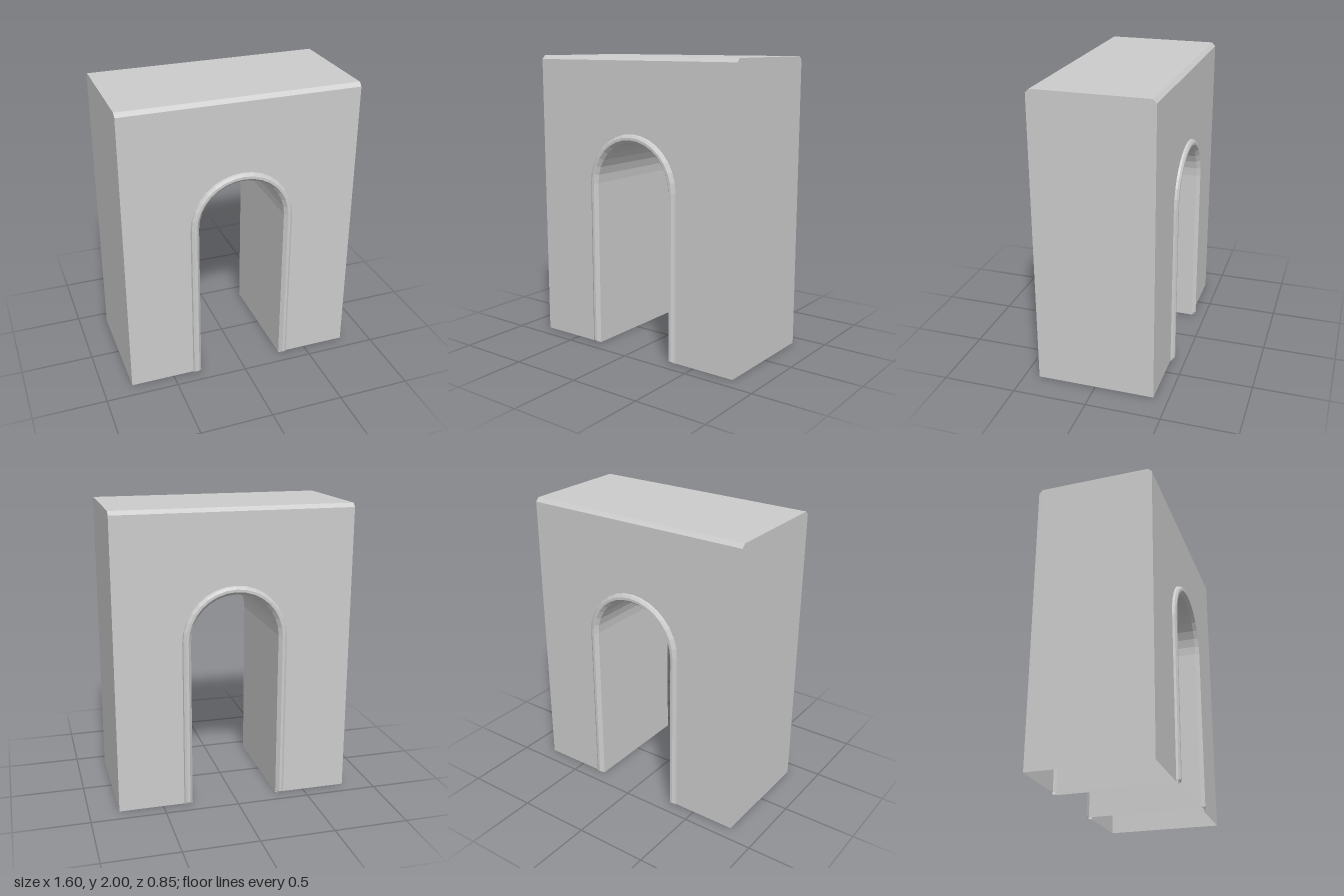
import * as THREE from 'three';

const W = 0.8, D = 0.4, H = 2, BEVEL = 0.025; // half width, half depth, height, top chamfer
const SPRING = 1.145, SEGMENTS = 16; // where the arch starts to curve, and its facets
const OUTER = 0.355, INNER = 0.297; // radii of the trim's outer and inner edge

const material = new THREE.MeshStandardMaterial({
  color: 0xcccccc, flatShading: true, side: THREE.DoubleSide,
});

// Surface through rows of points, facing (row direction) x (column direction)
function loft(rows) {
  const cols = rows[0].length, index = [];
  for (let i = 0; i < rows.length - 1; i++) {
    for (let j = 0; j < cols - 1; j++) {
      const a = i * cols + j, b = a + cols;
      index.push(a, b, b + 1, a, b + 1, a + 1);
    }
  }
  const geometry = new THREE.BufferGeometry();
  geometry.setAttribute('position', new THREE.Float32BufferAttribute(rows.flat(2), 3));
  geometry.setIndex(index);
  geometry.computeVertexNormals();
  return geometry;
}

// Stations up the left jamb, over the arch and down the right jamb
const stations = [{ angle: 0, y: 0, foot: true }, { angle: 0, y: 0.015 }];
for (let i = 0; i <= SEGMENTS; i++) stations.push({ angle: Math.PI * i / SEGMENTS, y: SPRING });
stations.push({ angle: Math.PI, y: 0.015 }, { angle: Math.PI, y: 0, foot: true });

function archPoint({ angle, y }, r) {
  return [r * Math.cos(angle), y + r * Math.sin(Math.min(angle, Math.PI - angle)) , 0];
}

// Sweeps a [radius, z] profile along the arch; the trim's feet are slightly tapered
function sweepArch(profile) {
  return loft(stations.map((s) => profile.map(([r, z]) => {
    const p = archPoint(s, r);
    p[2] = s.foot && z > D ? D + (z - D) * 0.6 : z;
    return p;
  })));
}

export function createModel() {
  const group = new THREE.Group();
  const add = (name, geometry, turn = 0) => {
    const mesh = new THREE.Mesh(geometry, material);
    mesh.name = name;
    mesh.rotation.y = turn;
    group.add(mesh);
  };

  // Front and back walls, notched by the archway
  const outline = [[-W, 0], [-W, H - BEVEL], [W, H - BEVEL], [W, 0]];
  const edge = stations.map((s) => archPoint(s, OUTER));
  const wall = new THREE.ShapeGeometry(new THREE.Shape(
    [...outline, ...edge].map(([x, y]) => new THREE.Vector2(x, y))));
  wall.translate(0, 0, D);
  add('frontWall', wall);
  add('backWall', wall, Math.PI);

  // End walls with chamfered top corners
  const end = new THREE.ShapeGeometry(new THREE.Shape([
    [-D, 0], [D, 0], [D, H - BEVEL], [D - BEVEL, H], [BEVEL - D, H], [-D, H - BEVEL],
  ].map(([x, y]) => new THREE.Vector2(x, y))));
  end.translate(0, 0, W);
  add('leftWall', end, Math.PI / 2);
  add('rightWall', end, -Math.PI / 2);

  // Flat top and its two chamfers
  const section = [[H - BEVEL, D], [H, D - BEVEL], [H, BEVEL - D], [H - BEVEL, -D]];
  add('top', loft([-W, W].map((x) => section.map(([y, z]) => [x, y, z]))));

  // Rounded trim around both mouths of the passage
  const trim = sweepArch([
    [OUTER, D], [OUTER - 0.004, D + 0.014], [0.335, D + 0.025], [0.318, D + 0.025], [INNER, D],
  ]);
  add('frontTrim', trim);
  add('backTrim', trim, Math.PI);

  // Passage lining; the block is hollow and open underneath
  add('passage', sweepArch([[INNER, D], [INNER, -D]]));
  return group;
}
